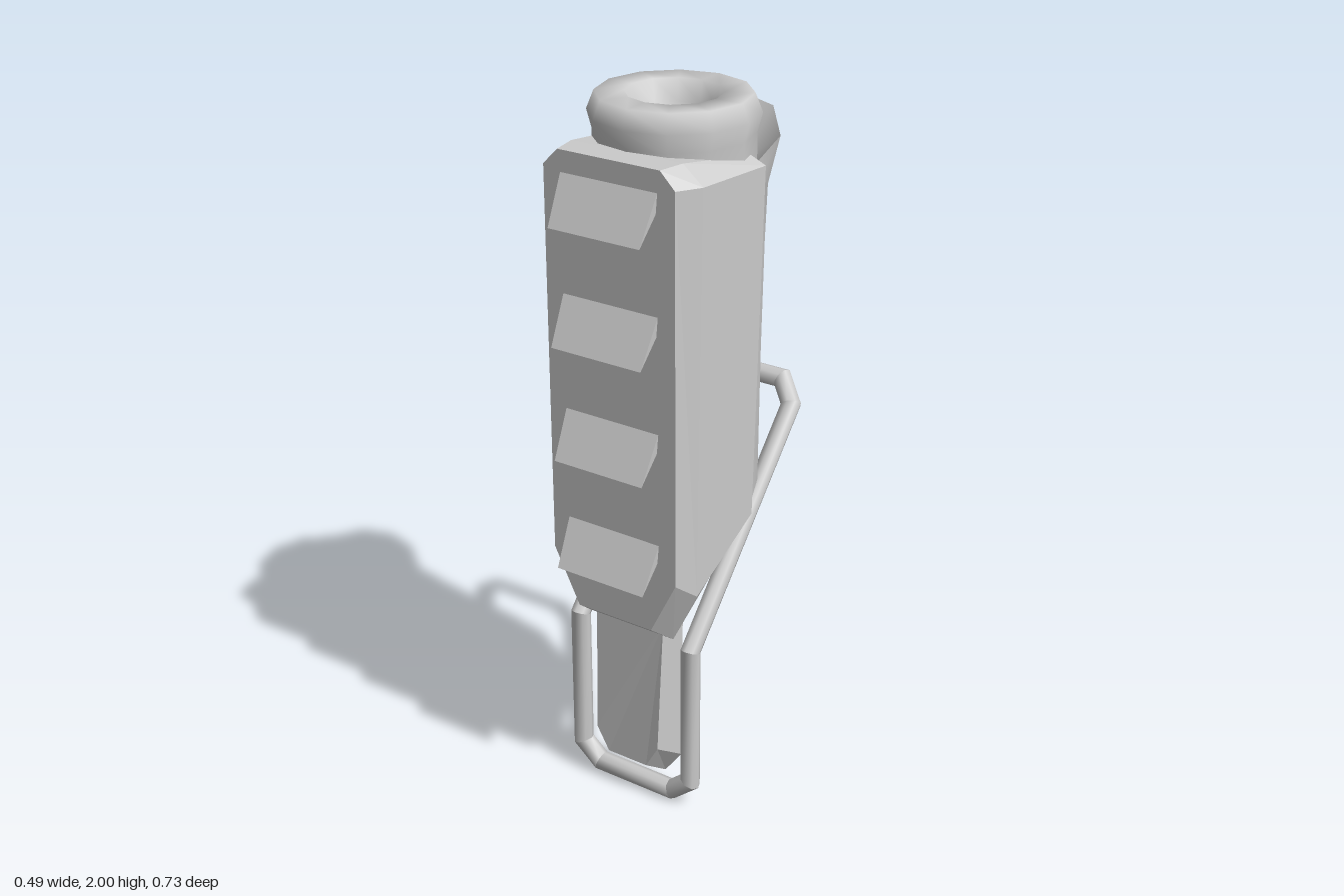
import * as THREE from 'three';

const smooth = new THREE.MeshStandardMaterial({ color: 0xcccccc, side: THREE.DoubleSide });
const flat = new THREE.MeshStandardMaterial({ color: 0xcccccc, side: THREE.DoubleSide, flatShading: true });

// Skin a list of cross-sections (each a list of [x, y, z])
function loft(rows, { closed = true, caps = false } = {}) {
  const n = rows[0].length, index = [];
  for (let r = 0; r < rows.length - 1; r++) {
    for (let c = 0; c < (closed ? n : n - 1); c++) {
      const a = r * n + c, b = r * n + (c + 1) % n;
      index.push(a, b, b + n, a, b + n, a + n);
    }
  }
  if (caps) {
    const e = (rows.length - 1) * n;
    for (let i = 1; i < n - 1; i++) index.push(0, i + 1, i, e, e + i, e + i + 1);
  }
  const g = new THREE.BufferGeometry();
  g.setAttribute('position', new THREE.Float32BufferAttribute(rows.flat(2), 3));
  g.setIndex(index);
  g.computeVertexNormals();
  return g;
}

// Symmetric section in the x-y plane: right side top to bottom, then mirrored
function mirrored(z, half) {
  const right = half.map(([x, y, dz = 0]) => [x, y, z + dz]);
  const left = right.map(([x, y, zz]) => [-x, y, zz]).reverse();
  return [...right, ...left];
}

function add(parent, name, geometry, material) {
  const mesh = new THREE.Mesh(geometry, material);
  mesh.name = name;
  parent.add(mesh);
  return mesh;
}

// Half-round outline of the rear shell; y is a function of z
function shellRow(yAt, w, d) {
  const outline = [[1, null], [0.96, 0.52], [0.52, 0.9], [0, 1]];
  const right = outline.map(([fx, fz]) => {
    const z = fz === null ? -0.03 : -fz * d;
    return [fx * w, yAt(z), z];
  });
  const left = right.slice(0, -1).map(([x, y, z]) => [-x, y, z]).reverse();
  return [...right, ...left];
}

// Mitred rod along a closed loop; normalAt gives the plane normal of each segment
function mitredLoop(parent, pts, radius, normalAt) {
  const n = pts.length;
  const dir = i => pts[(i + 1) % n].clone().sub(pts[(i + n) % n]).normalize();
  for (let i = 0; i < n; i++) {
    const p = pts[i], q = pts[(i + 1) % n], d = dir(i);
    const a = normalAt(p, q), b = d.clone().cross(a);
    const ring = (o, other) => {
      const plane = d.clone().add(other).normalize();
      return Array.from({ length: 8 }, (_, k) => {
        const t = k * Math.PI / 4;
        const off = a.clone().multiplyScalar(Math.cos(t) * radius).addScaledVector(b, Math.sin(t) * radius);
        off.addScaledVector(d, -off.dot(plane) / d.dot(plane));
        return off.add(o).toArray();
      });
    };
    add(parent, 'loopSegment', loft([ring(p, dir((i + n - 1) % n)), ring(q, dir((i + 1) % n))]), smooth);
  }
}

export function createModel() {
  const model = new THREE.Group();
  model.name = 'grip';

  // Faceted front housing
  add(model, 'frontHousing', loft([
    mirrored(0.297, [[0.155, 1.895], [0.2, 1.85], [0.2, 0.76], [0.12, 0.6]]),
    mirrored(0.22, [[0.17, 1.895], [0.23, 1.845], [0.217, 0.7], [0.14, 0.54]]),
    mirrored(-0.04, [[0.2, 1.855], [0.245, 1.835], [0.222, 0.84], [0.2, 0.82]]),
  ], { caps: true }), flat);

  // Rounded rear shell with a flared lip and slanted underside
  const shell = new THREE.Group();
  shell.name = 'rearShell';
  model.add(shell);
  const slant = z => 0.82 + (-0.04 - z) * 1.33;
  const rimY = z => 1.84 + (-0.04 - z) * 0.3;
  const rim = shellRow(rimY, 0.22, 0.313);
  const bottom = shellRow(slant, 0.205, 0.206);
  add(shell, 'shellWall', loft([
    bottom,
    shellRow(() => 1.3, 0.207, 0.208),
    shellRow(() => 1.6, 0.211, 0.212),
    shellRow(() => 1.76, 0.214, 0.222),
    rim,
  ], { closed: false }), smooth);
  add(shell, 'shellLipInside', loft([rim, shellRow(() => 1.79, 0.19, 0.19)], { closed: false }), smooth);
  const centre = bottom.map(() => [0, slant(-0.03), -0.03]);
  add(shell, 'shellUnderside', loft([centre, bottom], { closed: false }), flat);

  // Twelve-sided collar with a recessed mouth
  const profile = [
    [0.212, 1.74], [0.212, 1.9], [0.225, 1.95], [0.205, 2], [0.128, 2], [0.118, 1.94], [0.08, 1.88], [0, 1.86],
  ].map(([r, y]) => new THREE.Vector2(r, y));
  const collar = add(model, 'collar', new THREE.LatheGeometry(profile, 12), smooth);
  collar.position.z = 0.01;

  // Wedge ribs down the front
  for (let i = 0; i < 4; i++) {
    const y = 1.71 - i * 0.323;
    add(model, 'frontRib', loft([
      [[0.148, y + 0.14, 0.29], [0.14, y, 0.363], [0.143, y + 0.08, 0.29]],
      [[-0.148, y + 0.14, 0.29], [-0.14, y, 0.363], [-0.143, y + 0.08, 0.29]],
    ], { caps: true }), flat);
  }

  // Bevelled tongue under the housing
  add(model, 'lowerTongue', loft([
    mirrored(0.248, [[0.112, 0.58, -0.02], [0.105, 0.18], [0.065, 0.11]]),
    mirrored(0.158, [[0.13, 0.63], [0.125, 0.12], [0.07, 0.045]]),
  ], { caps: true }), flat);

  // Bent wire loop
  const loop = new THREE.Group();
  loop.name = 'wireLoop';
  model.add(loop);
  const half = [
    [0.125, 0.028, 0.205], [0.187, 0.08, 0.205], [0.187, 0.51, 0.205],
    [0.187, 1.065, -0.293], [0.13, 1.114, -0.337],
  ].map(p => new THREE.Vector3(...p));
  const path = [...half, ...half.map(p => new THREE.Vector3(-p.x, p.y, p.z)).reverse()];
  const lower = new THREE.Vector3(0, 0, 1);
  const upper = new THREE.Vector3(0, 0.498, 0.555).normalize();
  mitredLoop(loop, path, 0.028, (p, q) => (p.y + q.y > 1.1 ? upper : lower));

  return model;
}
